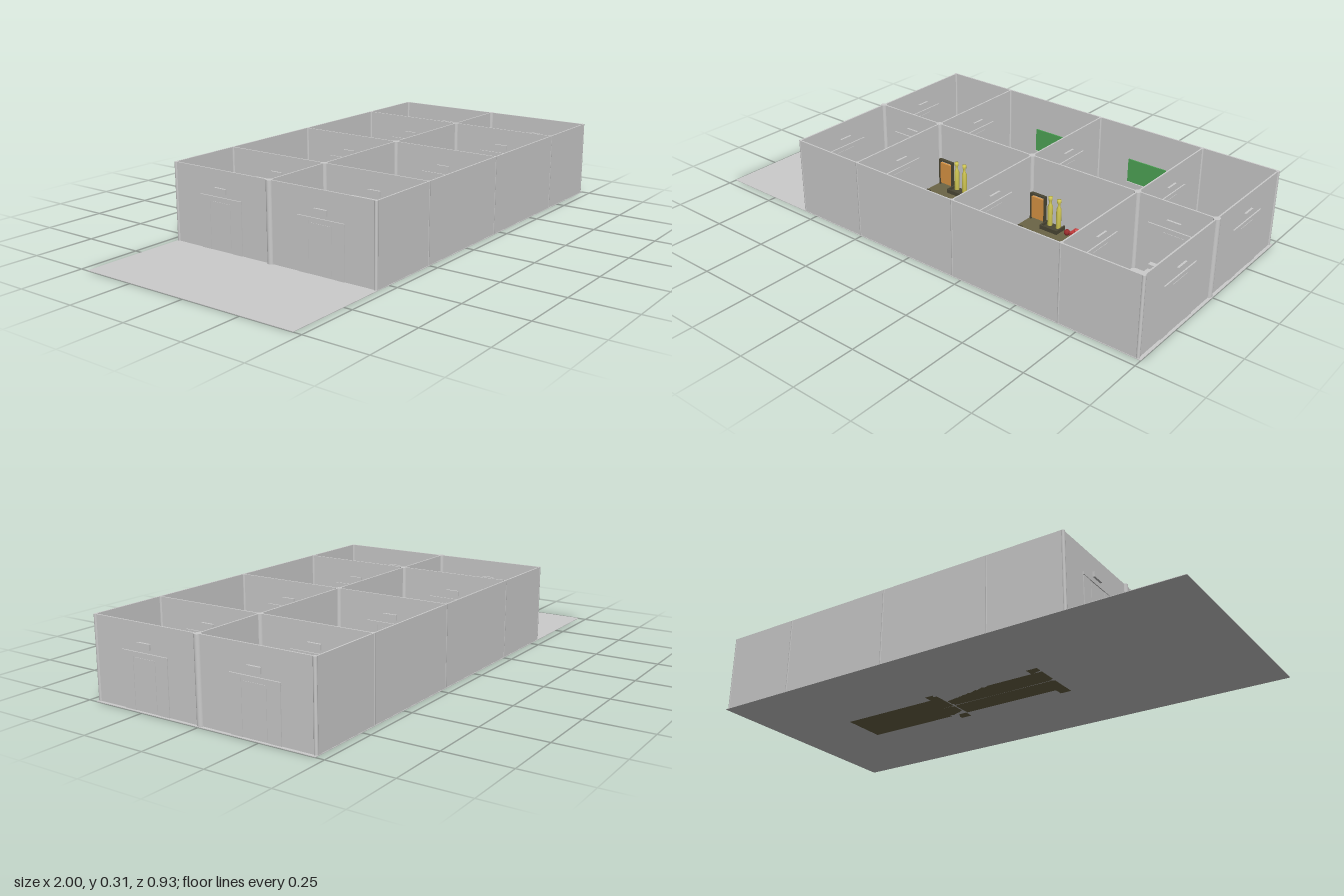
import * as THREE from 'three';

const mats = {};
function mat(color) {
  return (mats[color] ??= new THREE.MeshStandardMaterial({ color, flatShading: false }));
}
const GREY = 0xcccccc, WALL_H = 0.31, DEPTH = 0.465, T = 0.006;
const CROSS_X = [-0.565, -0.255, 0.21, 0.675, 0.985];

function add(parent, name, geometry, x, y, z, color = GREY) {
  const mesh = new THREE.Mesh(geometry, mat(color));
  mesh.name = name;
  mesh.position.set(x, y, z);
  parent.add(mesh);
  return mesh;
}
// Box given by its centre in x and z and by its bottom in y
function box(parent, name, w, h, d, x, y, z, color) {
  return add(parent, name, new THREE.BoxGeometry(w, h, d), x, y + h / 2, z, color);
}
function cyl(parent, name, rTop, rBottom, h, x, y, z, color, sides = 20) {
  return add(parent, name, new THREE.CylinderGeometry(rTop, rBottom, h, sides), x, y + h / 2, z, color);
}
function group(parent, name, x = 0, y = 0, z = 0) {
  const g = new THREE.Group();
  g.name = name;
  g.position.set(x, y, z);
  parent.add(g);
  return g;
}

// Two-sided door with stepped frame and a sign above; lies in the XY plane
function door(parent, x, z, turn) {
  const g = group(parent, 'door', x, 0, z);
  g.rotation.y = turn;
  for (const s of [-1, 1]) {
    box(g, 'doorJamb', 0.046, 0.197, 0.012, s * 0.077, 0, 0);
  }
  box(g, 'doorLintel', 0.204, 0.011, 0.016, 0, 0.197, 0);
  box(g, 'doorLeaf', 0.108, 0.197, 0.009, 0, 0, 0);
  box(g, 'doorPanel', 0.09, 0.176, 0.012, 0, 0.012, 0);
  box(g, 'doorSign', 0.055, 0.021, 0.022, 0, 0.222, 0);
}

// Armchair facing away from the middle wall
function seat(parent, x, side) {
  const g = group(parent, 'armchair', x, 0, side * 0.075);
  g.rotation.y = side > 0 ? 0 : Math.PI;
  box(g, 'seatCushion', 0.064, 0.04, 0.06, 0, 0, 0.01);
  box(g, 'seatBack', 0.13, 0.07, 0.02, 0, 0, -0.035);
  for (const s of [-1, 1]) box(g, 'armrest', 0.022, 0.052, 0.045, s * 0.054, 0, -0.003);
}

// Work island with its coloured equipment, straddling the middle wall
function island(parent, x) {
  const g = group(parent, 'island', x, 0, 0);
  const top = 0.05, olive = 0x6b6546, dark = 0x4a4634;
  box(g, 'islandCounter', 0.46, top, 0.18, 0, 0, 0, olive);
  for (const s of [-1, 1]) {
    box(g, 'islandWing', 0.046, top, 0.038, -0.207, 0, s * 0.108, olive);
    box(g, 'wingBlock', 0.02, 0.012, 0.02, -0.207, top, s * 0.11, dark);
    box(g, 'stool', 0.03, 0.045, 0.024, 0.202, 0, s * 0.112);
    // tray holding a pair of yellow bottles
    box(g, 'trayBase', 0.08, 0.006, 0.056, -0.108, top, s * 0.032, dark);
    for (const e of [-1, 1]) {
      box(g, 'traySide', 0.006, 0.016, 0.056, -0.108 + e * 0.037, top, s * 0.032, dark);
      const bottle = new THREE.LatheGeometry([[0, 0], [0.01, 0], [0.01, 0.08], [0.005, 0.09],
        [0.005, 0.105], [0.008, 0.107], [0.008, 0.12], [0, 0.12]].map(p => new THREE.Vector2(...p)), 14);
      add(g, 'bottle', bottle, -0.108 + e * 0.02, top + 0.006, s * 0.02, 0xd6cc55);
    }
    box(g, 'trayEdge', 0.08, 0.016, 0.006, -0.108, top, s * 0.057, dark);
    // orange rack in a dark frame
    box(g, 'rackPanel', 0.06, 0.09, 0.009, -0.19, top + 0.006, s * 0.011, 0xd99544);
    for (const e of [-1, 1]) {
      box(g, 'rackPost', 0.005, 0.112, 0.014, -0.19 + e * 0.032, top, s * 0.012, dark);
    }
    box(g, 'rackRail', 0.069, 0.006, 0.014, -0.19, top + 0.106, s * 0.012, dark);
  }

  // back half: green case, purple machine, blue drum
  box(g, 'greenCase', 0.046, 0.018, 0.038, -0.023, top, -0.043, 0x55a844);
  for (const [i, j] of [[-1, -1], [1, -1], [-1, 1], [1, 1]]) {
    cyl(g, 'greenKnob', 0.005, 0.005, 0.006, -0.023 + i * 0.012, top + 0.018, -0.043 + j * 0.01, 0x7fd06a, 10);
  }
  box(g, 'purpleBase', 0.056, 0.055, 0.05, 0.072, top, -0.045, 0x7a4fb0);
  cyl(g, 'purpleHood', 0.02, 0.036, 0.035, 0.072, top + 0.055, -0.045, 0x9468c8, 4).rotation.y = Math.PI / 4;
  box(g, 'purpleHandle', 0.018, 0.014, 0.014, 0.106, top + 0.025, -0.045, 0x7a4fb0);
  cyl(g, 'blueDrum', 0.02, 0.02, 0.06, 0.155, top, -0.048, 0x2f78b8);
  const rim = add(g, 'blueRim', new THREE.TorusGeometry(0.019, 0.004, 8, 24), 0.155, top + 0.062, -0.048, 0x4795d6);
  rim.rotation.x = Math.PI / 2;

  // front half: red press, pink dome, blue box
  box(g, 'redBody', 0.046, 0.032, 0.04, 0.012, top, 0.038, 0xc23a3a);
  cyl(g, 'redCap', 0.011, 0.011, 0.006, 0.012, top + 0.032, 0.038, 0xe06060);
  const bar = cyl(g, 'redBar', 0.005, 0.005, 0.11, 0.012, top - 0.037, 0.038, 0x9a2c2c, 10);
  bar.rotation.z = Math.PI / 2;
  for (const s of [-1, 1]) {
    add(g, 'redKnob', new THREE.SphereGeometry(0.012, 14, 10), 0.012 + s * 0.048, top + 0.014, 0.038, 0x9a2c2c);
  }
  const dome = add(g, 'pinkDome',
    new THREE.SphereGeometry(0.032, 24, 10, 0, Math.PI * 2, 0, Math.PI / 2), 0.118, top, 0.038, 0xc957b4);
  dome.scale.y = 0.85;
  box(g, 'blueBox', 0.042, 0.02, 0.042, 0.183, top, 0.043, 0x2f78b8);
  cyl(g, 'blueDial', 0.013, 0.013, 0.004, 0.183, top + 0.02, 0.043, 0x4795d6);
}

export function createModel() {
  const model = new THREE.Group();
  model.name = 'buildingFloor';
  box(model, 'floorSlab', 2, 0.002, 0.934, 0, 0, 0);

  // long walls: back, middle and front
  const walls = group(model, 'walls');
  const x0 = CROSS_X[0], x1 = CROSS_X[4], mid = (x0 + x1) / 2;
  for (const z of [-DEPTH + T / 2, 0, DEPTH - T / 2]) {
    box(walls, 'longWall', x1 - x0, WALL_H, T, mid, 0, z);
  }

  // cross walls with a door on each side, and posts at the junctions
  for (const x of CROSS_X) {
    box(walls, 'crossWall', T, WALL_H, DEPTH * 2, x, 0, 0);
    cyl(walls, 'middlePost', 0.013, 0.013, WALL_H, x, 0, 0);
    for (const s of [-1, 1]) {
      cyl(walls, 'wallPost', 0.007, 0.007, WALL_H, x, 0, s * (DEPTH - 0.006), GREY, 12);
      door(model, x, s * 0.232, Math.PI / 2);
    }
  }

  // end rooms: a door through the middle wall and a chair on each side
  for (const x of [-0.4, 0.83]) {
    door(model, x, 0, 0);
    for (const s of [-1, 1]) seat(model, x, s);
  }

  // main rooms: islands and green boards
  for (const x of [-0.0225, 0.4425]) {
    island(model, x);
    for (const s of [-1, 1]) {
      box(model, 'greenBoard', 0.172, 0.1, 0.007, x, 0.069, s * (DEPTH - 0.0075), 0x4ea556);
      box(model, 'boardLedge', 0.172, 0.004, 0.012, x, 0.066, s * (DEPTH - 0.01));
    }
  }
  return model;
}
